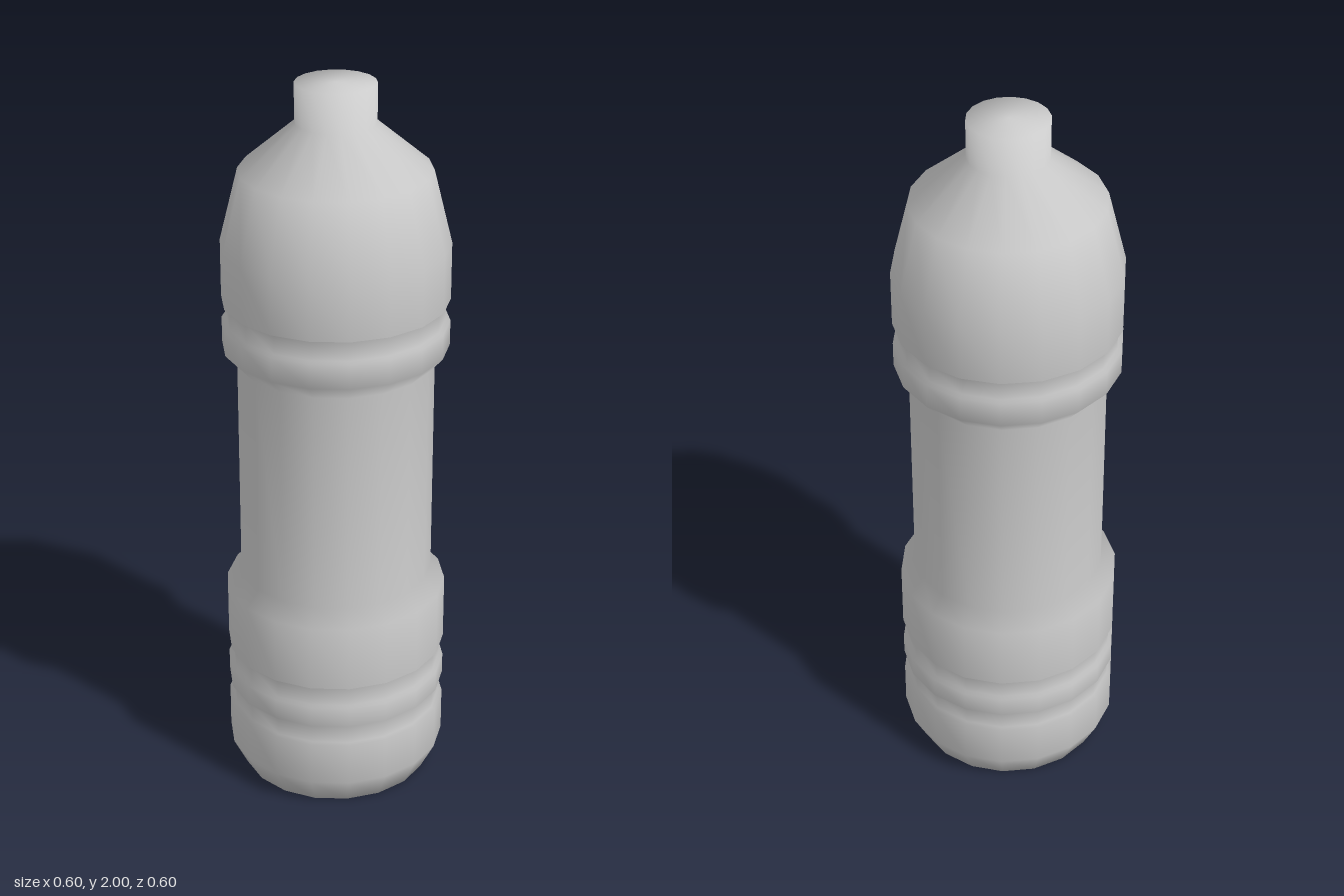
import * as THREE from 'three';

const SIDES = 18;

// Bottle outline from base centre to mouth centre: [radius, height]
const profile = [
  // base and chamfer
  [0, 0], [0.262, 0], [0.302, 0.08],
  // lower bands with two grooves
  [0.302, 0.203], [0.291, 0.207], [0.291, 0.261], [0.302, 0.265],
  [0.302, 0.324], [0.291, 0.328], [0.291, 0.383], [0.302, 0.387],
  // grip
  [0.302, 0.573], [0.263, 0.618], [0.263, 1.241], [0.302, 1.284],
  // upper groove
  [0.302, 1.353], [0.289, 1.357], [0.289, 1.411], [0.302, 1.415],
  // shoulder and neck
  [0.302, 1.572], [0.253, 1.77], [0.106, 1.895], [0.106, 2], [0, 2],
];

export function createModel() {
  const group = new THREE.Group();
  group.name = 'bottle';

  const points = profile.map(([r, y]) => new THREE.Vector2(r, y));
  const geometry = new THREE.LatheGeometry(points, SIDES);
  // widen slightly so the flat sides reach the same width as the corners
  geometry.scale(1.01, 1, 1);

  const body = new THREE.Mesh(geometry, new THREE.MeshStandardMaterial({ color: 0xcccccc }));
  body.name = 'bottleBody';
  group.add(body);
  return group;
}
